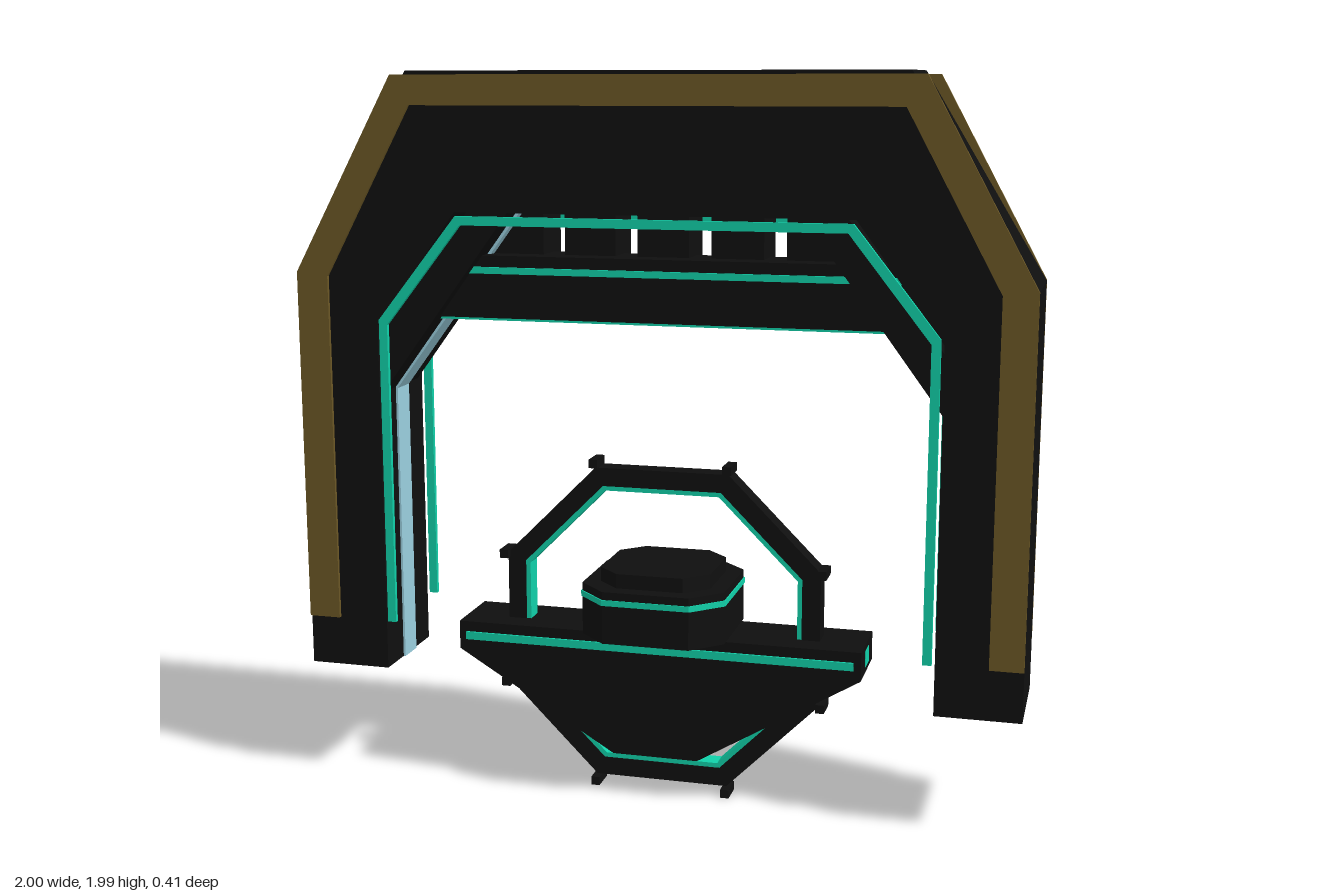
import * as THREE from 'three';

const mat = (name, color) => {
  const m = new THREE.MeshStandardMaterial({ color });
  m.name = name;
  return m;
};

export function createModel() {
  const root = new THREE.Group();
  root.name = 'portalGate';
  const black = mat('black', 0x0f0f0f);
  const gold = mat('dark gold', 0x6c5826);
  const teal = mat('teal', 0x11d2aa);
  const blue = mat('pale blue', 0x9bd0e0);
  const pink = mat('pink', 0xe87a92);

  const add = (parent, name, geo, material, x = 0, y = 0, z = 0) => {
    const m = new THREE.Mesh(geo, material);
    m.name = name;
    m.position.set(x, y, z);
    parent.add(m);
    return m;
  };
  const box = (parent, name, material, w, h, d, x, y, z) =>
    add(parent, name, new THREE.BoxGeometry(w, h, d), material, x, y, z);

  // Outline extruded between two depths
  const slab = (parent, name, material, pts, z0, z1, hole) => {
    const shape = new THREE.Shape(pts.map(p => new THREE.Vector2(...p)));
    if (hole) shape.holes.push(new THREE.Path(hole.map(p => new THREE.Vector2(...p))));
    const geo = new THREE.ExtrudeGeometry(shape, { depth: z1 - z0, bevelEnabled: false });
    return add(parent, name, geo, material, 0, 0, z0);
  };
  // Mirror the +x half of an outline, listed bottom to top
  const mirror = half => [...half, ...half.map(([x, y]) => [-x, y]).reverse()];
  // Arch-shaped band between an outer and an inner half outline
  const arch = (outer, inner) => [...mirror(outer), ...mirror(inner).reverse()];
  const flipX = pts => pts.map(([x, y]) => [-x, y]);

  // ---- Gate ----
  const gate = new THREE.Group();
  gate.name = 'gate';
  root.add(gate);
  slab(gate, 'gateBody', black, arch(
    [[1, 0.33], [1, 1.45], [0.67, 1.99]],
    [[0.77, 0.33], [0.77, 1.31], [0.54, 1.62]]), -0.15, 0.15);

  const goldBand = arch(
    [[1, 0.47], [1, 1.45], [0.71, 1.98]],
    [[0.91, 0.47], [0.91, 1.44], [0.66, 1.9]]);
  const tealBand = arch(
    [[0.762, 0.47], [0.762, 1.325], [0.535, 1.61]],
    [[0.738, 0.47], [0.738, 1.312], [0.522, 1.586]]);
  for (const s of [1, -1]) {
    const a = s > 0 ? 0.147 : -0.16;
    slab(gate, 'goldTrim', gold, goldBand, a, a + 0.013);
    slab(gate, 'innerLightStrip', teal, tealBand, a, a + 0.013);
    box(gate, 'beamLightStrip', teal, 1.34, 0.018, 0.008, 0, 1.46, s * 0.083);
  }

  // Corner braces and the pale lining round the opening
  const brace = [[0.77, 1.12], [0.77, 1.28], [0.515, 1.62], [0.4, 1.62]];
  slab(gate, 'cornerBrace', black, brace, -0.12, 0.12);
  slab(gate, 'cornerBrace', black, flipX(brace), -0.12, 0.12);
  slab(gate, 'openingLining', blue, arch(
    [[0.772, 0.33], [0.772, 1.12], [0.4, 1.622]],
    [[0.764, 0.33], [0.764, 1.117], [0.396, 1.612]]), -0.04, 0.04);

  // Cross beam with a light underneath
  slab(gate, 'crossBeam', black,
    [[-0.62, 1.33], [0.62, 1.33], [0.74, 1.33], [0.64, 1.5], [-0.64, 1.5], [-0.74, 1.33]],
    -0.08, 0.08);
  box(gate, 'beamUnderLight', teal, 1.24, 0.01, 0.13, 0, 1.327, 0);

  // Lamps facing the back
  for (let i = -2; i <= 2; i++) {
    const x = i * 0.204;
    box(gate, 'lampHousing', black, 0.143, 0.2, 0.15, x, 1.52, -0.065);
    const lens = add(gate, 'lampLens', new THREE.CylinderGeometry(0.053, 0.053, 0.014, 12),
      pink, x, 1.52, -0.145);
    lens.rotation.x = Math.PI / 2;
  }

  // ---- Floating pod ----
  const pod = new THREE.Group();
  pod.name = 'pod';
  root.add(pod);
  slab(pod, 'hull', black, mirror([[0.12, 0.12], [0.57, 0.39], [0.57, 0.47]]), -0.1, 0.1);
  for (const s of [1, -1]) {
    box(pod, 'hullLightStrip', teal, 1.1, 0.022, 0.008, 0, 0.43, s * 0.102);
    box(pod, 'hullEndLight', teal, 0.006, 0.045, 0.06, s * 0.569, 0.43, 0);
  }

  // Chamfered octagonal decks, stacked
  const deck = (name, material, r, y0, y1) => {
    const c = r * 0.6;
    const pts = [[r, -c], [r, c], [c, r], [-c, r], [-r, c], [-r, -c], [-c, -r], [c, -r]];
    const m = slab(pod, name, material, pts, 0, y1 - y0);
    m.rotation.x = -Math.PI / 2;
    m.position.y = y0;
  };
  deck('turretBase', black, 0.2, 0.47, 0.615);
  deck('turretLightBand', teal, 0.203, 0.577, 0.593);
  deck('turretCap', black, 0.155, 0.615, 0.655);

  // Octagonal ring with a lit inner edge
  const cy = 0.4725;
  const octagon = (r, c) => [[r, -c], [r, c], [c, r], [-c, r], [-r, c], [-r, -c], [-c, -r], [c, -r]]
    .map(([x, y]) => [x, y + cy]);
  const outer = octagon(0.446, 0.188), mid = octagon(0.395, 0.167), inner = octagon(0.382, 0.161);
  slab(pod, 'ringFrame', black, outer, -0.03, 0.03, mid);
  slab(pod, 'ringInnerLight', teal, mid, -0.027, 0.027, inner);
  for (const [x, y] of outer) {
    const dy = y - cy;
    const side = Math.abs(x) > 0.3;
    box(pod, 'ringNode', black, 0.024, 0.024, 0.072,
      x + (side ? Math.sign(x) * 0.006 : 0), side ? y : cy + Math.sign(dy) * 0.4605, 0.017);
  }
  return root;
}
